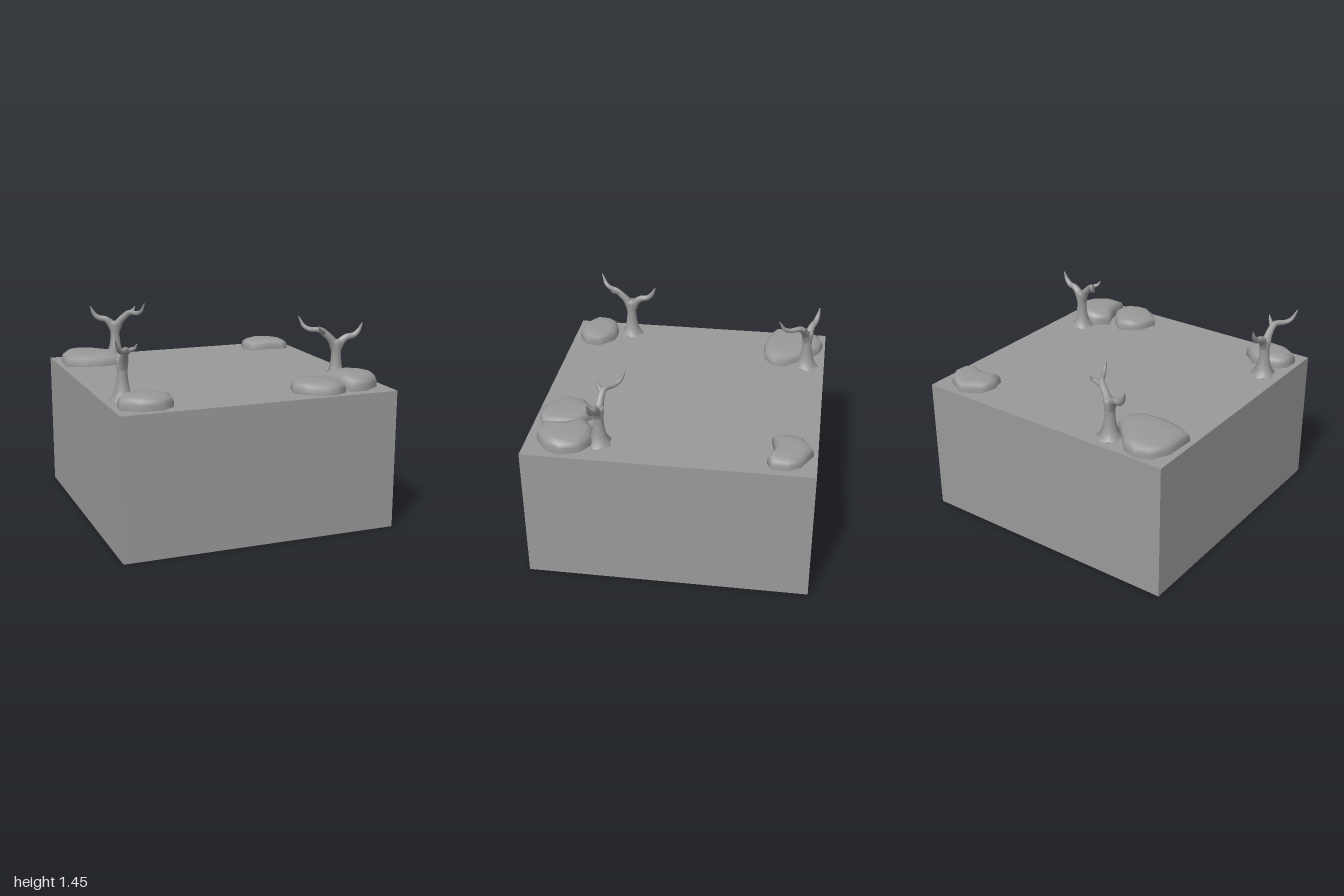
import * as THREE from 'three';

const stone = new THREE.MeshStandardMaterial({ color: 0x999999, side: THREE.DoubleSide });
stone.name = 'plain grey';

function add(parent, name, geometry) {
  const mesh = new THREE.Mesh(geometry, stone);
  mesh.name = name;
  parent.add(mesh);
  return mesh;
}

// Open-bottomed block: a box without its lower face
function blockGeometry() {
  const g = new THREE.BoxGeometry(2, 1, 2);
  const index = Array.from(g.index.array);
  index.splice(18, 6);
  g.setIndex(index);
  g.clearGroups();
  return g.translate(0, 0.5, 0);
}

// Boulder: an outline on the ground, drawn in towards a cap centre in rings
const RINGS = [[1, 0], [1, 0.42], [0.93, 0.74], [0.74, 0.96], [0.4, 1.0]];
function rockGeometry(outline, height, [cx, cz]) {
  const n = outline.length, pos = [], index = [];
  for (const [s, h] of RINGS) {
    for (const [x, z] of outline) pos.push(cx + (x - cx) * s, h * height, cz + (z - cz) * s);
  }
  pos.push(cx, height, cz);
  for (let r = 0; r < RINGS.length; r++) {
    for (let j = 0; j < n; j++) {
      const k = (j + 1) % n, a = r * n + j, b = r * n + k;
      if (r === RINGS.length - 1) index.push(a, RINGS.length * n, b);
      else index.push(a, a + n, b + n, a, b + n, b);
    }
  }
  const g = new THREE.BufferGeometry();
  g.setAttribute('position', new THREE.Float32BufferAttribute(pos, 3));
  g.setIndex(index);
  g.computeVertexNormals();
  return g;
}

// Branch: a tube whose radius follows a list of values along its path
function branchGeometry(points, radii) {
  const curve = new THREE.CatmullRomCurve3(points.map(p => new THREE.Vector3(...p)));
  const steps = 18, sides = 8;
  const g = new THREE.TubeGeometry(curve, steps, 1, sides);
  const p = g.attributes.position, v = new THREE.Vector3();
  for (let i = 0; i <= steps; i++) {
    const t = i / steps, c = curve.getPointAt(t);
    const f = t * (radii.length - 1), k = Math.min(Math.floor(f), radii.length - 2);
    const r = THREE.MathUtils.lerp(radii[k], radii[k + 1], f - k);
    for (let j = 0; j <= sides; j++) {
      const id = i * (sides + 1) + j;
      v.fromBufferAttribute(p, id).sub(c).multiplyScalar(r).add(c);
      p.setXYZ(id, v.x, v.y, v.z);
    }
  }
  return g;
}

// Trunk: a lathe whose foot spreads into five root lobes
function trunkGeometry() {
  const profile = [[0.083, 0], [0.066, 0.025], [0.052, 0.06], [0.042, 0.11], [0.036, 0.17],
    [0.037, 0.22], [0.043, 0.26], [0.038, 0.285], [0, 0.29]].map(p => new THREE.Vector2(...p));
  const g = new THREE.LatheGeometry(profile, 20);
  const p = g.attributes.position;
  for (let i = 0; i < p.count; i++) {
    const x = p.getX(i), y = p.getY(i), z = p.getZ(i);
    const s = 1 + 0.2 * Math.max(0, 1 - y / 0.12) * Math.cos(5 * Math.atan2(z, x));
    p.setXYZ(i, x * s, y, z * s);
  }
  return g;
}

function createTree(name, x, z, degrees) {
  const tree = new THREE.Group();
  tree.name = name;
  add(tree, 'trunk', trunkGeometry());
  add(tree, 'singleBranch', branchGeometry(
    [[0, 0.2, 0], [0.03, 0.265, 0], [0.075, 0.303, 0], [0.13, 0.315, 0], [0.165, 0.345, 0], [0.195, 0.405, 0]],
    [0.034, 0.034, 0.026, 0.022, 0.017, 0.004]));
  add(tree, 'forkedBranch', branchGeometry(
    [[0, 0.2, 0], [-0.03, 0.275, 0], [-0.075, 0.325, 0], [-0.12, 0.36, -0.008],
      [-0.19, 0.362, -0.06], [-0.225, 0.385, -0.09], [-0.24, 0.42, -0.105], [-0.255, 0.448, -0.115]],
    [0.034, 0.035, 0.027, 0.024, 0.019, 0.017, 0.013, 0.004]));
  add(tree, 'twig', branchGeometry(
    [[-0.09, 0.335, 0], [-0.12, 0.36, 0.025], [-0.142, 0.372, 0.045], [-0.155, 0.402, 0.06]],
    [0.018, 0.016, 0.012, 0.003]));
  tree.position.set(x, 1, z);
  tree.rotation.y = -THREE.MathUtils.degToRad(degrees);
  return tree;
}

const ROCKS = [
  { name: 'frontRightRock', h: 0.09, c: [-0.78, 0.8], o: [[-0.96, 0.86], [-0.95, 0.75], [-0.9, 0.69],
    [-0.82, 0.665], [-0.7, 0.67], [-0.585, 0.78], [-0.6, 0.88], [-0.7, 0.95], [-0.85, 0.935]] },
  { name: 'frontInnerRock', h: 0.077, c: [0.48, 0.78], o: [[0.29, 0.82], [0.33, 0.68], [0.4, 0.62],
    [0.48, 0.585], [0.59, 0.68], [0.655, 0.79], [0.64, 0.92], [0.55, 0.965], [0.47, 0.97], [0.36, 0.9]] },
  { name: 'frontOuterRock', h: 0.1, c: [0.79, 0.72], o: [[0.6, 0.62], [0.7, 0.54], [0.82, 0.535],
    [0.92, 0.6], [0.965, 0.73], [0.93, 0.83], [0.8, 0.925], [0.68, 0.92], [0.66, 0.75]] },
  { name: 'backLeftRock', h: 0.077, c: [0.77, -0.82], o: [[0.585, -0.78], [0.61, -0.89], [0.75, -0.97],
    [0.9, -0.89], [0.95, -0.8], [0.94, -0.7], [0.88, -0.665], [0.77, -0.71], [0.62, -0.68]] },
  { name: 'backRightRock', h: 0.085, c: [-0.78, -0.77], o: [[-0.96, -0.6], [-0.95, -0.82], [-0.88, -0.95],
    [-0.78, -0.98], [-0.68, -0.95], [-0.6, -0.86], [-0.46, -0.71], [-0.465, -0.61], [-0.55, -0.54],
    [-0.7, -0.525], [-0.85, -0.55]] },
];

export function createModel() {
  const model = new THREE.Group();
  model.name = 'groundBlock';
  add(model, 'block', blockGeometry());
  for (const { name, h, c, o } of ROCKS) add(model, name, rockGeometry(o, h, c)).position.y = 1;
  model.add(createTree('frontRightTree', -0.855, 0.56, -90));
  model.add(createTree('backRightTree', -0.5, -0.86, 204));
  model.add(createTree('frontLeftTree', 0.78, 0.49, 8));
  return model;
}
